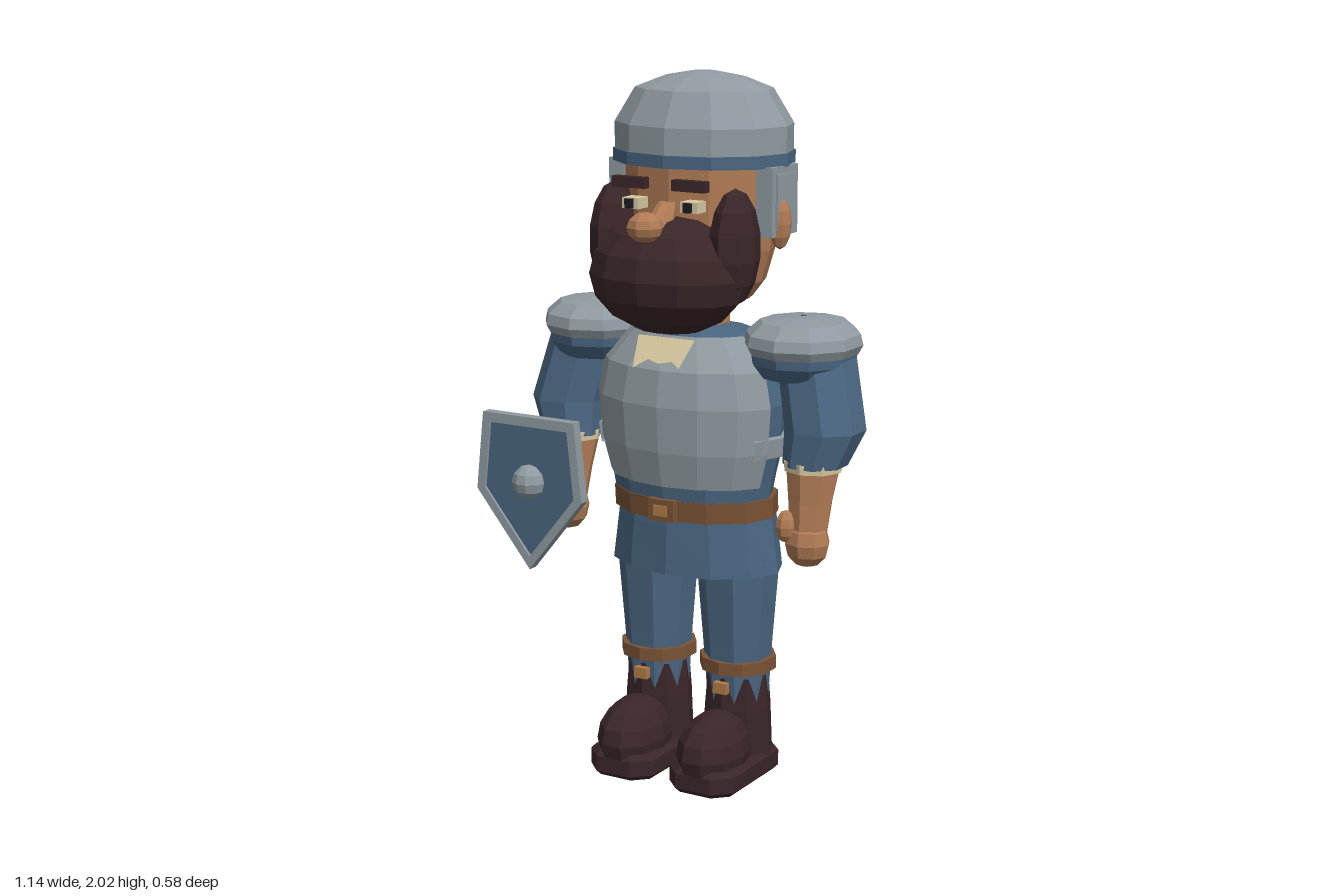
import * as THREE from 'three';

const mat = (name, color, side = THREE.FrontSide) => {
  const m = new THREE.MeshStandardMaterial({ color, side });
  m.name = name;
  return m;
};

export function createModel() {
  const blue = mat('blueCloth', 0x4a6681);
  const metal = mat('greyMetal', 0x8f9aa0, THREE.DoubleSide);
  const skin = mat('skin', 0xb07b54);
  const dark = mat('darkBrown', 0x3a2628);
  const leather = mat('leather', 0x7a5335);
  const cream = mat('cream', 0xd6c8a0, THREE.DoubleSide);
  const brass = mat('brass', 0xb07a45);
  const black = mat('black', 0x1c1c22);

  const model = new THREE.Group();
  const figure = new THREE.Group();
  figure.name = 'guard';
  figure.position.x = 0.042;
  model.add(figure);

  // Faceted mesh
  function add(name, geo, material, x = 0, y = 0, z = 0) {
    const g = geo.index ? geo.toNonIndexed() : geo;
    g.computeVertexNormals();
    const mesh = new THREE.Mesh(g, material);
    mesh.name = name;
    mesh.position.set(x, y, z);
    figure.add(mesh);
    return mesh;
  }
  const box = (name, m, w, h, d, x, y, z) => add(name, new THREE.BoxGeometry(w, h, d), m, x, y, z);
  const ball = (name, m, rx, ry, rz, x, y, z, w = 10, h = 7) =>
    add(name, new THREE.SphereGeometry(1, w, h).scale(rx, ry, rz), m, x, y, z);

  // Closed solid through horizontal rings [x, y, z, rx, rz], bottom to top
  function loft(name, m, rings, n = 10, turn = 0) {
    const pos = [], idx = [];
    for (const [x, y, z, rx, rz = rx] of rings)
      for (let j = 0; j < n; j++) {
        const a = ((j + turn) / n) * Math.PI * 2;
        pos.push(x + rx * Math.sin(a), y, z + rz * Math.cos(a));
      }
    const last = rings.length - 1, low = pos.length / 3, high = low + 1;
    pos.push(...rings[0].slice(0, 3), ...rings[last].slice(0, 3));
    for (let j = 0; j < n; j++) {
      const k = (j + 1) % n;
      for (let i = 0; i < last; i++) {
        const a = i * n + j, b = i * n + k;
        idx.push(a, b, a + n, b, b + n, a + n);
      }
      idx.push(low, k, j, high, last * n + j, last * n + k);
    }
    const g = new THREE.BufferGeometry();
    g.setAttribute('position', new THREE.Float32BufferAttribute(pos, 3));
    g.setIndex(idx);
    return add(name, g, m);
  }

  // Helmet, hair and head
  loft('helmet', metal, [[0, 1.78, -0.07, 0.258, 0.215], [0, 1.86, -0.07, 0.26, 0.212],
    [0, 1.955, -0.07, 0.2, 0.165], [0, 1.985, -0.07, 0.12, 0.1], [0, 2, -0.07, 0.035, 0.03]], 12);
  loft('helmetBand', blue, [[0, 1.752, -0.07, 0.264, 0.22], [0, 1.787, -0.07, 0.264, 0.22]], 12);
  loft('hair', dark, [[0, 1.7, -0.135, 0.21, 0.105], [0, 1.755, -0.135, 0.23, 0.12]], 12);
  loft('head', skin, [[0, 1.38, -0.057, 0.15, 0.13], [0, 1.43, -0.057, 0.19, 0.155],
    [0, 1.52, -0.057, 0.217, 0.175], [0, 1.6, -0.057, 0.225, 0.178], [0, 1.76, -0.057, 0.222, 0.178]], 12);
  loft('neck', skin, [[0, 1.26, -0.06, 0.085], [0, 1.4, -0.06, 0.075]], 10);

  // Face
  ball('beard', dark, 0.235, 0.165, 0.175, 0, 1.46, 0.118, 12, 8);
  ball('nose', skin, 0.052, 0.042, 0.05, 0, 1.605, 0.242, 8, 6);
  loft('noseBridge', skin, [[0, 1.585, 0.18, 0.042, 0.06], [0, 1.66, 0.125, 0.025, 0.03]], 8);
  for (const s of [-1, 1]) {
    ball('sideburn', dark, 0.063, 0.16, 0.092, s * 0.19, 1.545, 0.09, 8, 7);
    box('eyeWhite', cream, 0.052, 0.03, 0.05, s * 0.092, 1.655, 0.145);
    box('pupil', black, 0.022, 0.026, 0.012, s * 0.092, 1.655, 0.176);
    box('eyebrow', dark, 0.104, 0.03, 0.026, s * 0.094, 1.713, 0.165);
    box('cheekGuard', metal, 0.05, 0.19, 0.145, s * 0.235, 1.66, -0.062);
    box('cheekGuardPanel', metal, 0.012, 0.15, 0.105, s * 0.26, 1.66, -0.062);
    ball('ear', skin, 0.032, 0.072, 0.036, s * 0.256, 1.6, -0.043, 8, 6);
  }

  // Torso, breastplate and the band around the back
  const trunk = [[0.235, 0.8], [0.25, 0.88], [0.274, 0.98], [0.283, 1.1], [0.26, 1.2], [0.18, 1.295], [0.1, 1.305]];
  loft('torso', blue, trunk.map(([r, y]) => [0, y, -0.02, r, r * 0.7]), 12);
  const shell = (name, pts, start, length, seg) =>
    add(name, new THREE.LatheGeometry(pts.map(([r, y]) => new THREE.Vector2(r, y)), seg, start, length)
      .scale(1, 1, 0.7), metal, 0, 0, -0.02);
  shell('breastplate', [[0.255, 0.87], [0.283, 0.97], [0.294, 1.1], [0.272, 1.2], [0.19, 1.29]],
    -Math.PI * 0.4, Math.PI * 0.8, 6);
  shell('backBand', [[0.27, 0.95], [0.285, 0.955], [0.293, 1.01], [0.27, 1.015]], Math.PI / 3, Math.PI * 4 / 3, 8);

  // Pointed collar lying on the chest
  const collar = new THREE.Shape([[-0.09, 0.1], [-0.075, 0], [-0.035, 0.03], [0, 0.02], [0.04, 0.03],
    [0.068, 0.012], [0.09, 0.1]].map(p => new THREE.Vector2(...p)));
  add('collar', new THREE.ShapeGeometry(collar), cream, 0, 1.205, 0.188).rotation.x = -0.6;

  // Belt and tunic skirt
  loft('skirt', blue, [[0, 0.61, -0.04, 0.262, 0.178], [0, 0.75, -0.04, 0.242, 0.173],
    [0, 0.8, -0.04, 0.235, 0.17]], 12);
  loft('belt', leather, [[0, 0.77, -0.035, 0.248, 0.182], [0, 0.83, -0.03, 0.248, 0.182]], 12);
  box('buckle', leather, 0.082, 0.062, 0.025, 0, 0.803, 0.152);
  box('buckleCentre', brass, 0.042, 0.03, 0.012, 0, 0.803, 0.164);

  // Chamfered sole
  const sole = new THREE.Shape([[-0.09, -0.12], [-0.05, -0.16], [0.05, -0.16], [0.09, -0.12],
    [0.09, 0.13], [0.06, 0.16], [-0.06, 0.16], [-0.09, 0.13]].map(p => new THREE.Vector2(...p)));

  for (const s of [-1, 1]) {
    // Legs and boots
    const x = s * 0.132;
    loft('leg', blue, [[x, 0.22, -0.045, 0.088, 0.088], [x, 0.4, -0.042, 0.1, 0.1],
      [x, 0.64, -0.04, 0.119, 0.12]], 8, 0.5);
    loft('kneeStrap', leather, [[x, 0.315, -0.045, 0.111], [x, 0.352, -0.045, 0.111]], 10);
    loft('bootShaft', dark, [[x, 0.06, -0.045, 0.106, 0.1], [x, 0.2, -0.045, 0.098, 0.098],
      [x, 0.3, -0.045, 0.09, 0.09]], 8);
    box('bootBuckle', brass, 0.042, 0.032, 0.02, x, 0.275, 0.053);
    ball('bootToe', dark, 0.097, 0.115, 0.14, x, 0.1, 0.088, 10, 8);
    add('sole', new THREE.ExtrudeGeometry(sole, { depth: 0.045, bevelSize: 0.015, bevelThickness: 0.015,
      bevelSegments: 1 }).rotateX(-Math.PI / 2), dark, x, 0.015, 0.037);

    // Sleeves, forearms and hands
    loft('sleeve', blue, [[s * 0.395, 0.952, 0.0, 0.09, 0.09], [s * 0.415, 1.05, -0.02, 0.113, 0.11],
      [s * 0.37, 1.24, -0.05, 0.11, 0.11]], 8, 0.5);
    loft('cuff', cream, [[s * 0.393, 0.938, 0.004, 0.083], [s * 0.393, 0.965, 0.002, 0.086]], 8);
    loft('forearm', skin, [[s * 0.393, 0.74, 0.033, 0.052], [s * 0.392, 0.85, 0.018, 0.063],
      [s * 0.392, 0.96, 0.0, 0.08]], 8);
    ball('hand', skin, 0.066, 0.07, 0.06, s * 0.393, 0.738, 0.036, 8, 6);
    ball('thumb', skin, 0.03, 0.046, 0.032, s * 0.345, 0.785, 0.07, 8, 6);

    // Shoulder armour
    const p = s * 0.328;
    loft('shoulderPad', blue, [[p, 1.185, -0.05, 0.115, 0.125], [p, 1.225, -0.05, 0.146, 0.155],
      [p, 1.265, -0.05, 0.15, 0.16]], 10);
    loft('shoulderPlate', metal, [[p, 1.25, -0.05, 0.152, 0.158], [p, 1.275, -0.05, 0.165, 0.172],
      [p, 1.305, -0.05, 0.158, 0.165], [p, 1.338, -0.05, 0.12, 0.125], [p, 1.35, -0.05, 0.04, 0.04]], 10);
    loft('shoulderStud', blue, [[p, 1.34, -0.05, 0.009], [p, 1.353, -0.05, 0.007]], 6);
  }

  // Shield on the right arm
  const outline = [[-0.155, 0.19], [-0.18, -0.04], [0, -0.26], [0.18, -0.04], [0.155, 0.19]];
  const scaled = k => outline.map(([a, b]) => new THREE.Vector2(a * k, b * k));
  const rim = new THREE.Shape(scaled(1));
  rim.holes.push(new THREE.Path(scaled(0.85)));
  const slab = (shape, depth) => new THREE.ExtrudeGeometry(shape, { depth, bevelEnabled: false });
  add('shieldRim', slab(rim, 0.032), metal, -0.436, 0.83, 0.143);
  add('shieldPanel', slab(new THREE.Shape(scaled(0.88)), 0.016), blue, -0.436, 0.83, 0.151);
  ball('shieldBoss', metal, 0.051, 0.051, 0.046, -0.436, 0.83, 0.172, 10, 6);
  box('shieldRivet', metal, 0.022, 0.022, 0.03, -0.436, 0.83, 0.146);

  return model;
}
